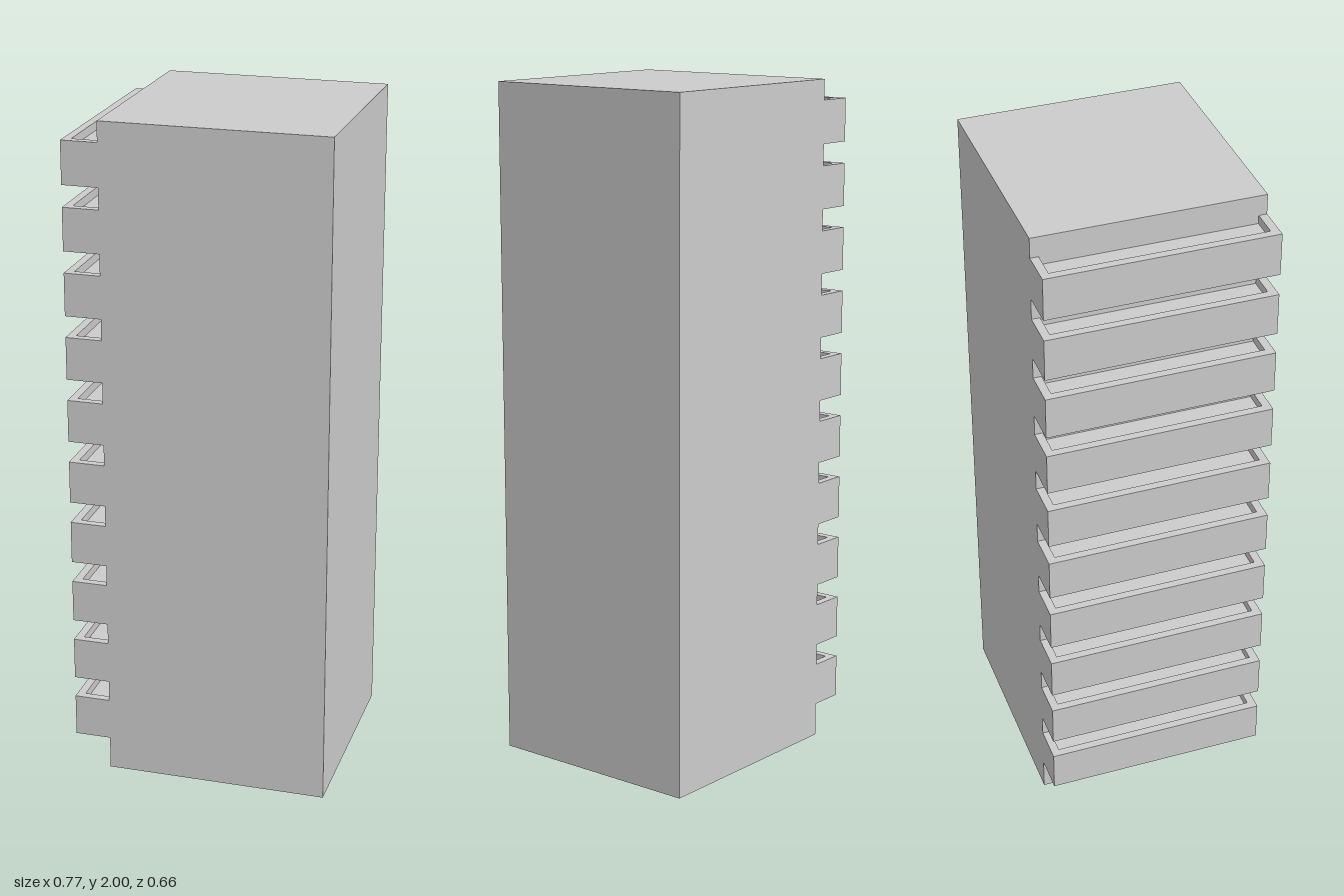
import * as THREE from 'three';

const WIDTH = 0.664, DEPTH = 0.664, HEIGHT = 2;   // tower block
const REACH = 0.107;                              // how far a balcony projects
const RAIL = 0.024, RAIL_HEIGHT = 0.025;          // parapet thickness and height
const BALCONY_HEIGHT = 0.127, FIRST = 0.099, STEP = 0.1904, COUNT = 10;
const WALL_X = -0.278;                            // wall that carries the balconies

const material = new THREE.MeshStandardMaterial({ color: 0xcccccc });

// Extrudes a plan outline (x, z) upwards from y = 0
function extrudePlan(points, height) {
  const shape = new THREE.Shape(points.map(([x, z]) => new THREE.Vector2(x, -z)));
  return new THREE.ExtrudeGeometry(shape, { depth: height, bevelEnabled: false }).rotateX(-Math.PI / 2);
}

function addMesh(parent, name, geometry, x, y, z) {
  const mesh = new THREE.Mesh(geometry, material);
  mesh.name = name;
  mesh.position.set(x, y, z);
  parent.add(mesh);
  return mesh;
}

export function createModel() {
  const model = new THREE.Group();
  model.name = 'towerBlock';

  // Main block
  addMesh(model, 'tower', new THREE.BoxGeometry(WIDTH, HEIGHT, DEPTH), WALL_X + WIDTH / 2, HEIGHT / 2, 0);

  // Balcony slab and the U-shaped parapet on top of it
  const slabHeight = BALCONY_HEIGHT - RAIL_HEIGHT;
  const slab = new THREE.BoxGeometry(REACH, slabHeight, DEPTH);
  const h = DEPTH / 2, inner = h - RAIL;
  const parapet = extrudePlan([
    [0, h], [0, inner], [RAIL - REACH, inner], [RAIL - REACH, -inner],
    [0, -inner], [0, -h], [-REACH, -h], [-REACH, h],
  ], RAIL_HEIGHT);

  // One balcony per storey
  for (let i = 0; i < COUNT; i++) {
    const balcony = new THREE.Group();
    balcony.name = `balcony${i + 1}`;
    balcony.position.set(WALL_X, FIRST + i * STEP, 0);
    addMesh(balcony, 'balconySlab', slab, -REACH / 2, slabHeight / 2, 0);
    addMesh(balcony, 'balconyParapet', parapet, 0, slabHeight, 0);
    model.add(balcony);
  }
  return model;
}
